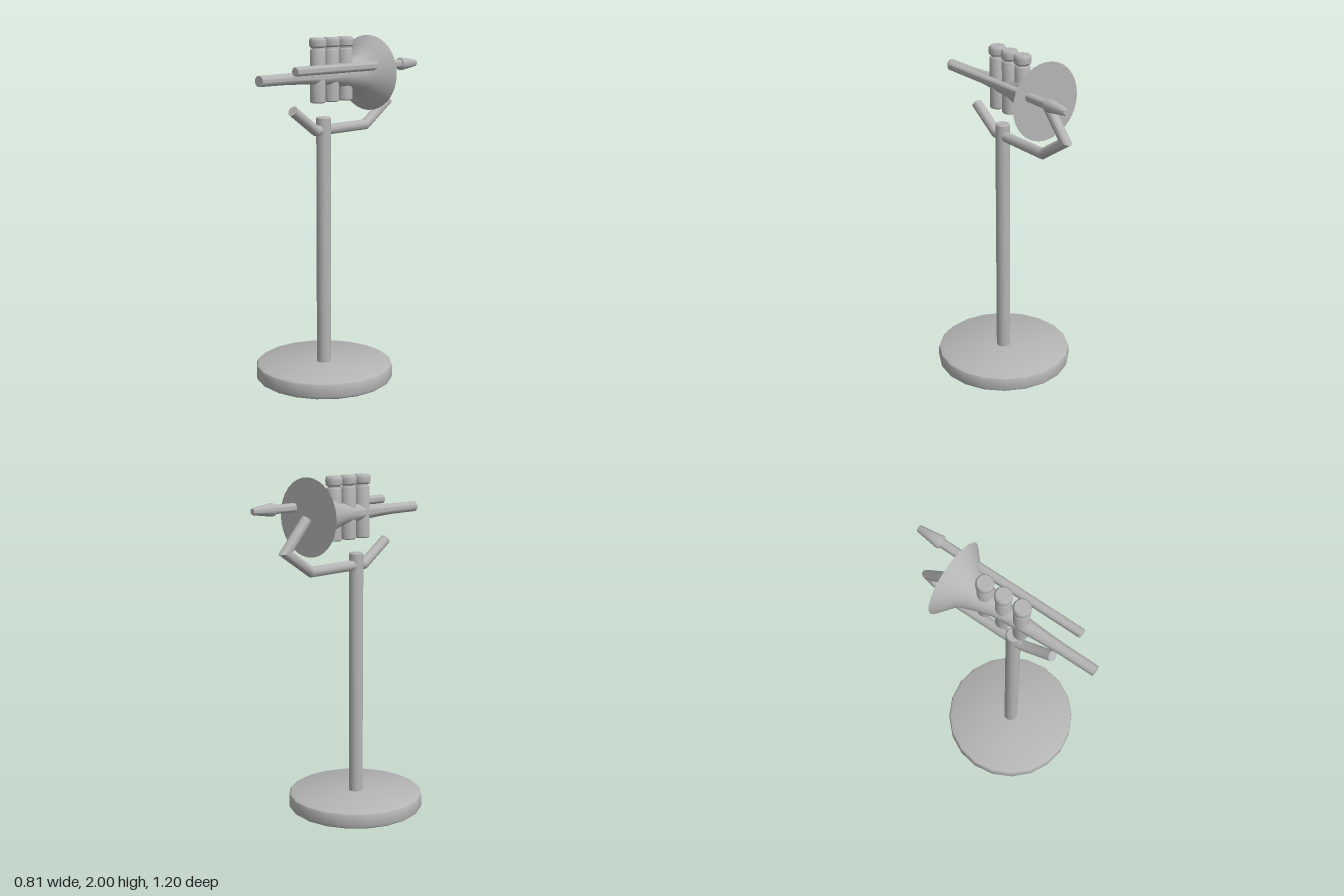
import * as THREE from 'three';
import { toCreasedNormals } from 'three/addons/utils/BufferGeometryUtils.js';

const grey = new THREE.MeshStandardMaterial({ color: 0xb4b4b4, side: THREE.DoubleSide });
grey.name = 'satinGrey';

// Turned part: profile of [radius, height] pairs from low to high
function turned(profile, sides) {
  const points = profile.map(([r, h]) => new THREE.Vector2(r, h));
  return toCreasedNormals(new THREE.LatheGeometry(points, sides), 0.65);
}

// Round bar with mitred corners along a [y, z] path in the plane x = 0
function mitredBar(path, radius, sides) {
  const pts = path.map(([y, z]) => new THREE.Vector3(0, y, z));
  const normals = pts.slice(1).map((p, i) => {
    const t = p.clone().sub(pts[i]).normalize();
    return new THREE.Vector3(0, t.z, -t.y);
  });
  const positions = [], index = [];
  pts.forEach((p, i) => {
    const a = normals[Math.max(i - 1, 0)], b = normals[Math.min(i, normals.length - 1)];
    const m = a.clone().add(b).divideScalar(1 + a.dot(b));
    for (let j = 0; j < sides; j++) {
      const q = (j / sides) * Math.PI * 2, s = Math.sin(q) * radius;
      positions.push(Math.cos(q) * radius, p.y + m.y * s, p.z + m.z * s);
    }
  });
  const last = (pts.length - 1) * sides, startCentre = last + sides, endCentre = startCentre + 1;
  positions.push(...pts[0].toArray(), ...pts[pts.length - 1].toArray());
  for (let j = 0; j < sides; j++) {
    const k = (j + 1) % sides;
    for (let o = 0; o < last; o += sides) {
      index.push(o + j, o + k, o + sides + k, o + j, o + sides + k, o + sides + j);
    }
    index.push(startCentre, k, j, endCentre, last + j, last + k);
  }
  const g = new THREE.BufferGeometry();
  g.setAttribute('position', new THREE.Float32BufferAttribute(positions, 3));
  g.setIndex(index);
  return toCreasedNormals(g, 0.6);
}

export function createModel() {
  const model = new THREE.Group();
  model.name = 'trumpetOnStand';
  const add = (name, geometry, x, y, z, parent = model) => {
    const mesh = new THREE.Mesh(geometry, grey);
    mesh.name = name;
    mesh.position.set(x, y, z);
    parent.add(mesh);
    return mesh;
  };

  // Stand: hollow foot, post and bent cradle
  add('base', turned([
    [0.385, 0], [0.4, 0.01], [0.405, 0.025], [0.405, 0.075], [0.4, 0.09], [0.385, 0.1], [0, 0.1],
  ], 20), 0, 0, 0.09);
  add('post', turned([
    [0, 0.07], [0.042, 0.07], [0.042, 1.545], [0.036, 1.552], [0, 1.552],
  ], 20), 0, 0, 0.093);
  add('cradle', mitredBar([
    [1.605, 0.344], [1.478, 0.157], [1.478, -0.272], [1.603, -0.464], [1.775, -0.305],
  ], 0.03, 20), 0, 0, 0);

  // Horn: flared body with a closed back disc
  const horn = turned([
    [0, -0.293], [0.221, -0.293], [0.212, -0.283], [0.165, -0.24], [0.116, -0.197],
    [0.1, -0.155], [0.078, -0.09], [0.058, -0.01], [0.05, 0.08], [0.044, 0.16],
    [0.036, 0.28], [0.031, 0.4], [0.03, 0.6], [0, 0.6],
  ], 32).rotateX(Math.PI / 2);
  add('bell', horn, 0, 1.783, 0);

  // Lead pipe on the left, running through the bell
  const pipe = turned([
    [0, -0.46], [0.026, -0.46], [0.026, 0.435], [0.022, 0.44], [0, 0.44],
  ], 20).rotateX(Math.PI / 2);
  add('leadPipe', pipe, 0.113, 1.831, 0);
  const mouth = turned([
    [0, -0.6], [0.016, -0.6], [0.02, -0.594], [0.038, -0.462], [0.036, -0.452], [0.026, -0.446], [0, -0.446],
  ], 20).rotateX(Math.PI / 2);
  add('mouthpiece', mouth, 0.113, 1.831, 0);

  // Three valves with finger caps
  const casing = turned([
    [0, 1.636], [0.039, 1.636], [0.044, 1.642], [0.044, 1.93], [0.039, 1.937], [0, 1.937],
  ], 20);
  const stem = new THREE.CylinderGeometry(0.034, 0.034, 0.03, 20);
  const button = turned([
    [0, 1.945], [0.04, 1.945], [0.048, 1.954], [0.049, 1.975], [0.048, 1.99], [0.04, 2], [0, 2],
  ], 20);
  [0.14, 0.026, -0.09].forEach((z, i) => {
    const valve = new THREE.Group();
    valve.name = `valve${i + 1}`;
    add('casing', casing, 0, 0, z, valve);
    add('stem', stem, 0, 1.942, z, valve);
    add('button', button, 0, 0, z, valve);
    model.add(valve);
  });
  return model;
}
